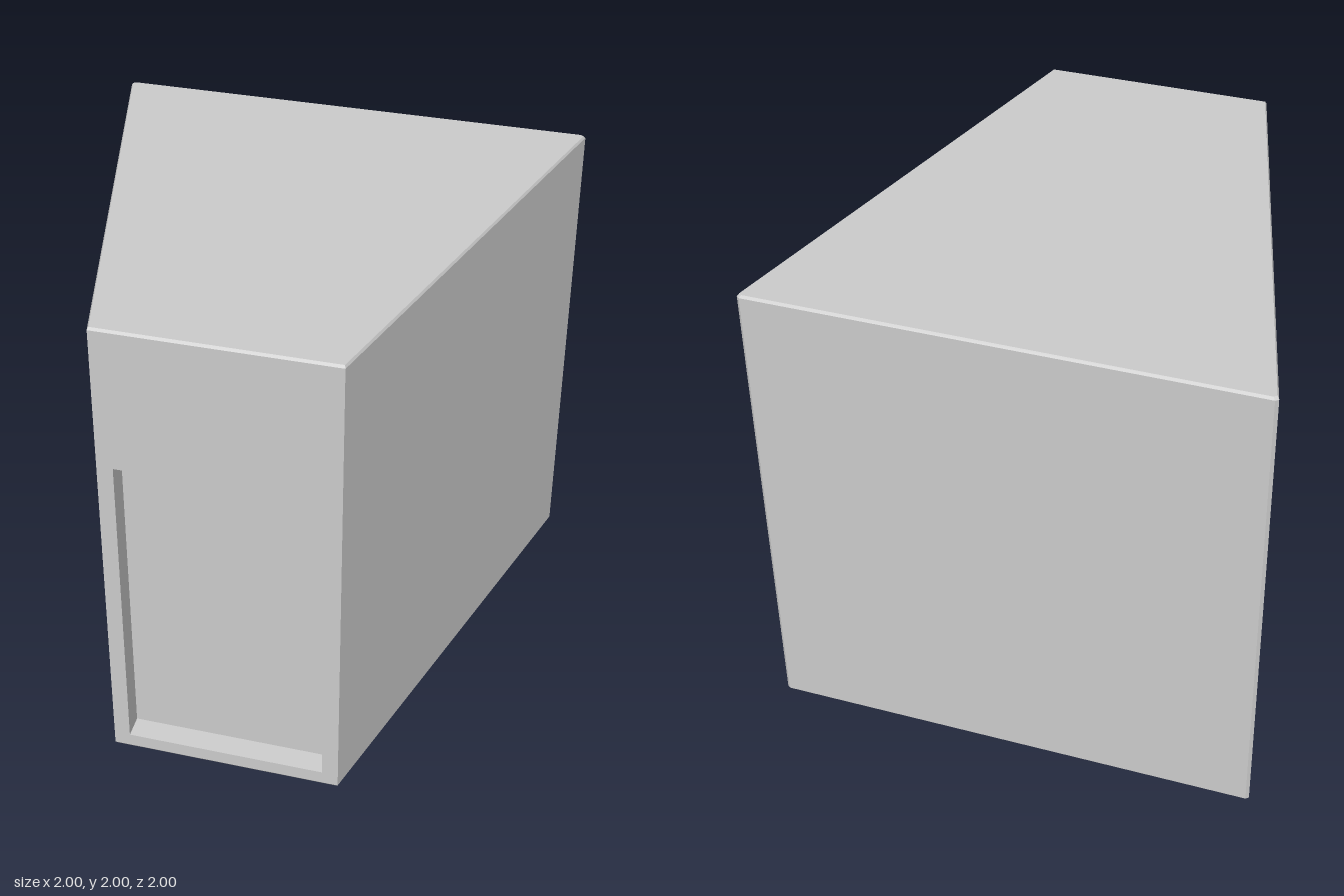
import * as THREE from 'three';

const material = new THREE.MeshStandardMaterial({ color: 0xcccccc, flatShading: true });

// Flat-shaded mesh from a list of convex polygons, corners counter-clockwise from outside
function polygonMesh(name, polygons) {
  const positions = [];
  for (const p of polygons) {
    for (let i = 1; i < p.length - 1; i++) positions.push(...p[0], ...p[i], ...p[i + 1]);
  }
  const geometry = new THREE.BufferGeometry();
  geometry.setAttribute('position', new THREE.Float32BufferAttribute(positions, 3));
  geometry.computeVertexNormals();
  const mesh = new THREE.Mesh(geometry, material);
  mesh.name = name;
  return mesh;
}

// Quads joining two matching closed rings, leaving out one side if asked
function bridge(a, b, skip = -1) {
  return a
    .map((p, i) => {
      const j = (i + 1) % a.length;
      return [p, a[j], b[j], b[i]];
    })
    .filter((_, i) => i !== skip);
}

export function createModel() {
  const group = new THREE.Group();
  group.name = 'wedgeCabinet';

  // Tapered plan: narrow front, wide back with slightly chamfered rear corners
  const plan = [[-0.47, 1], [0.47, 1], [1, -0.99], [0.988, -1], [-0.988, -1], [-1, -0.99]];
  const ring = (y, inset) => plan.map(([x, z]) => [x * (1 - inset), y, z * (1 - inset)]);
  const rings = [ring(0, 0.008), ring(0.01, 0), ring(1.99, 0), ring(2, 0.008)];

  // Body shell, open at the front where the door surround fits
  group.add(polygonMesh('body', [
    ...bridge(rings[0], rings[1]),
    ...bridge(rings[1], rings[2], 0),
    ...bridge(rings[2], rings[3]),
    rings[3],
    [...rings[0]].reverse(),
  ]));

  // Front face with the doorway cut out
  const outline = (w, y0, y1) => [[-w, y0], [w, y0], [w, y1], [-w, y1]];
  const opening = outline(0.405, 0.065, 1.4);
  const toPoints = (list) => list.map(([x, y]) => new THREE.Vector2(x, y));
  const face = new THREE.Shape(toPoints(outline(0.47, 0.01, 1.99)));
  face.holes.push(new THREE.Path(toPoints(opening)));
  const front = new THREE.Mesh(new THREE.ShapeGeometry(face), material);
  front.name = 'doorSurround';
  front.position.z = 1;
  group.add(front);

  // Recess reveals and the door panel set back inside them
  const outer = opening.map(([x, y]) => [x, y, 1]);
  const inner = outline(0.405, 0.073, 1.388).map(([x, y]) => [x, y, 0.91]);
  group.add(polygonMesh('doorReveal', bridge(outer, inner)));
  group.add(polygonMesh('doorPanel', [inner]));

  return group;
}
